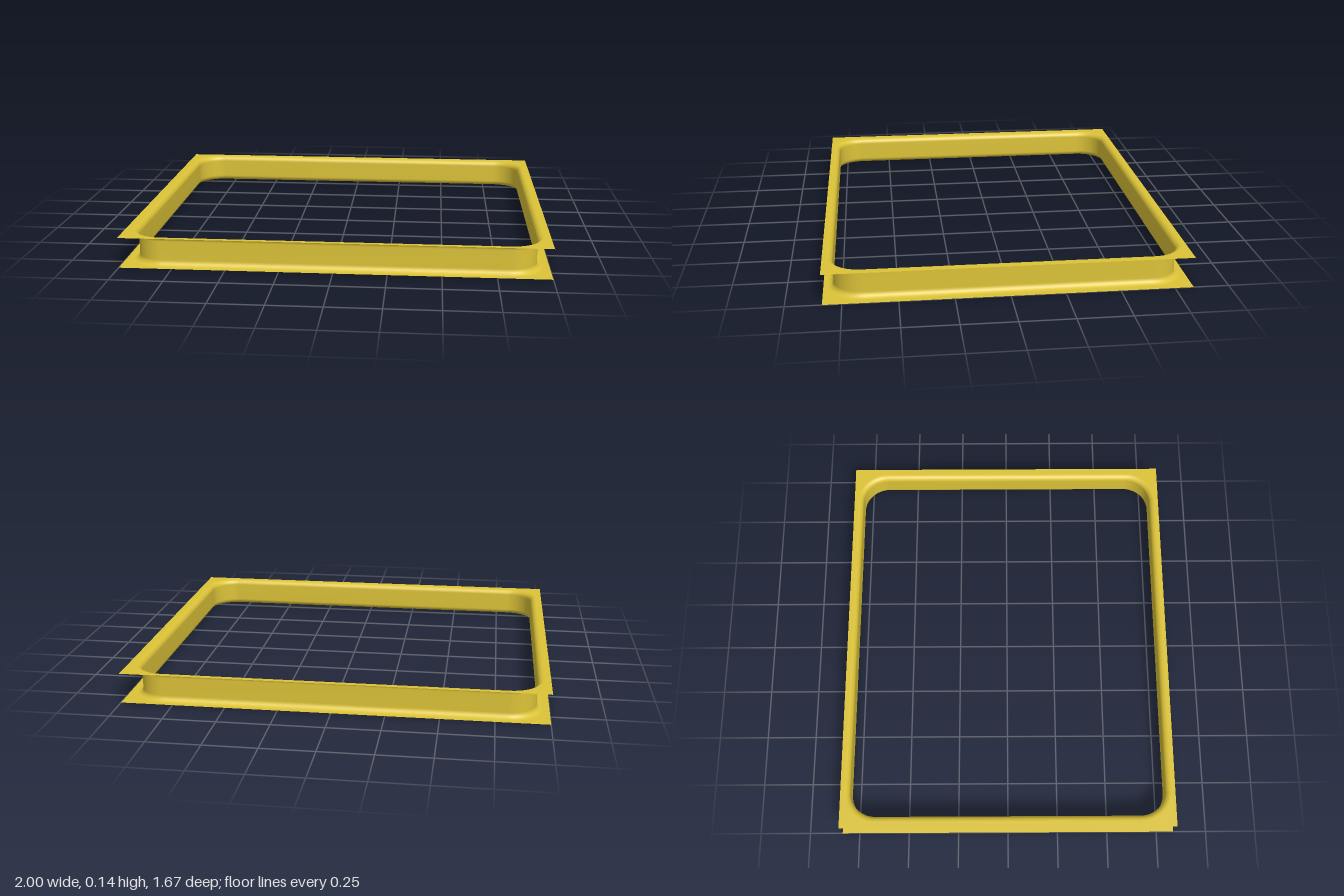
import * as THREE from 'three';

const HEIGHT = 0.145, HALF_X = 1, HALF_Z = 0.837;     // overall frame
const WALL_X = 0.94, WALL_Z = 0.79, CORNER = 0.13;    // inner wall and its corner radius
const FILLET = 0.028, CORNER_STEPS = 12, FILLET_STEPS = 8;

// Rounded rectangle around the opening, pushed outward by `offset`
function outline(offset) {
  const points = [], r = CORNER + offset;
  const cx = WALL_X - CORNER, cz = WALL_Z - CORNER;
  [[1, 1], [-1, 1], [-1, -1], [1, -1]].forEach(([sx, sz], q) => {
    for (let i = 0; i <= CORNER_STEPS; i++) {
      const a = (q + i / CORNER_STEPS) * Math.PI / 2;
      points.push(new THREE.Vector2(sx * cx + r * Math.cos(a), sz * cz + r * Math.sin(a)));
    }
  });
  return points;
}

// Wall cross-section as [outward offset, height], flaring at both ends
function wallProfile() {
  const lower = [];
  for (let i = 0; i <= FILLET_STEPS; i++) {
    const a = i / FILLET_STEPS * Math.PI / 2;
    lower.push([FILLET * (1 - Math.sin(a)), FILLET * (1 - Math.cos(a))]);
  }
  return [...lower, ...lower.slice().reverse().map(([o, y]) => [o, HEIGHT - y])];
}

// Loft the outline through every level of the profile
function wallGeometry() {
  const positions = [], index = [], profile = wallProfile();
  const n = 4 * (CORNER_STEPS + 1);
  for (const [offset, y] of profile)
    for (const p of outline(offset)) positions.push(p.x, y, p.y);
  for (let j = 0; j < profile.length - 1; j++)
    for (let i = 0; i < n; i++) {
      const a = j * n + i, b = j * n + (i + 1) % n;
      index.push(a, a + n, b, b, a + n, b + n);
    }
  const geometry = new THREE.BufferGeometry();
  geometry.setAttribute('position', new THREE.Float32BufferAttribute(positions, 3));
  geometry.setIndex(index);
  geometry.computeVertexNormals();
  return geometry;
}

// Flat sheet with square outer corners and a rounded opening
function flangeGeometry() {
  const shape = new THREE.Shape([
    new THREE.Vector2(-HALF_X, -HALF_Z), new THREE.Vector2(HALF_X, -HALF_Z),
    new THREE.Vector2(HALF_X, HALF_Z), new THREE.Vector2(-HALF_X, HALF_Z),
  ]);
  shape.holes.push(new THREE.Path(outline(FILLET).reverse()));
  return new THREE.ShapeGeometry(shape).rotateX(-Math.PI / 2);
}

export function createModel() {
  const group = new THREE.Group();
  group.name = 'flangedFrame';
  const material = new THREE.MeshStandardMaterial({ color: 0xdcc338, side: THREE.DoubleSide });
  const add = (name, geometry, y) => {
    const mesh = new THREE.Mesh(geometry, material);
    mesh.name = name;
    mesh.position.y = y;
    group.add(mesh);
  };
  const flange = flangeGeometry();
  add('wall', wallGeometry(), 0);
  add('bottomFlange', flange, 0);
  add('topFlange', flange, HEIGHT);
  return group;
}
